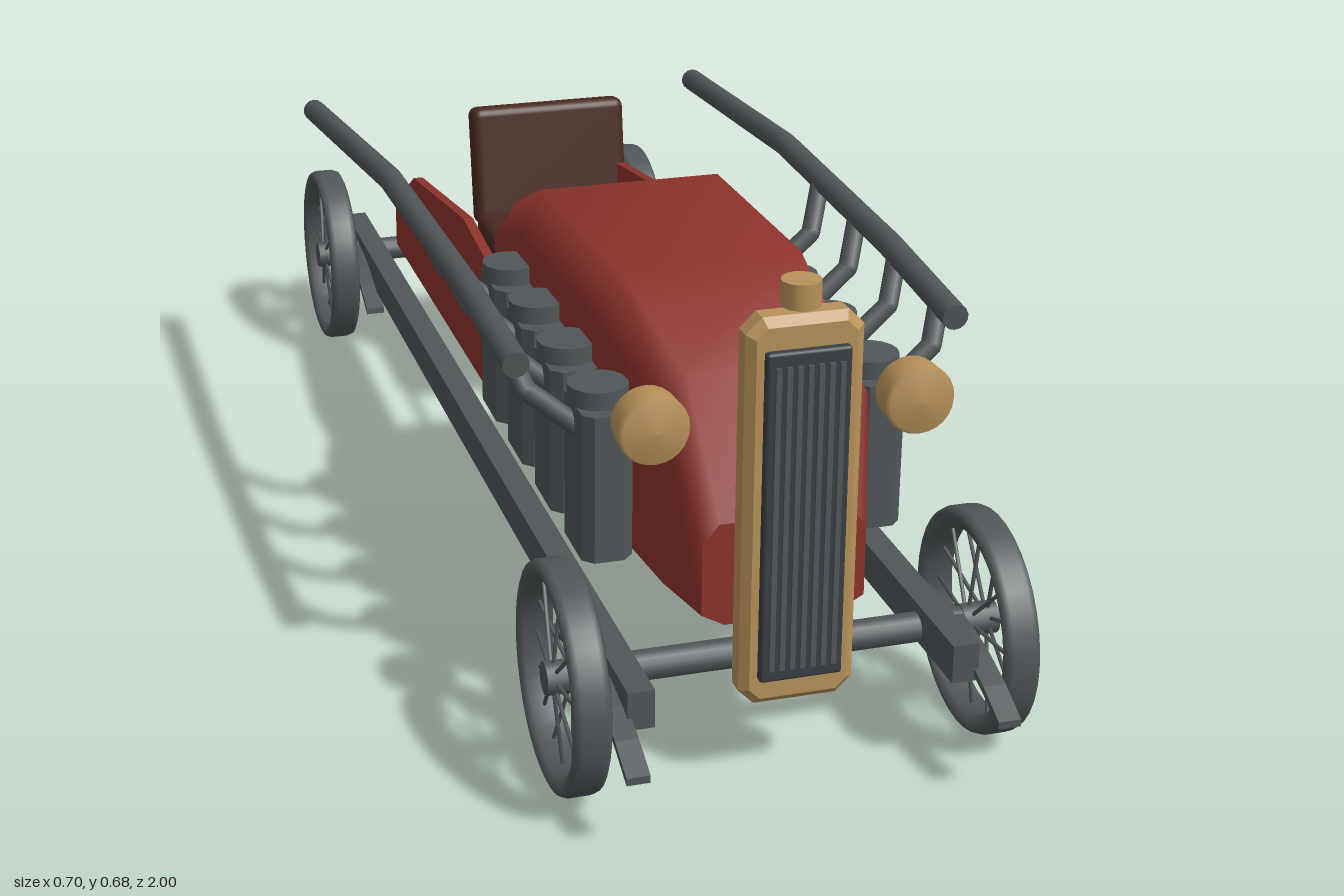
import * as THREE from 'three';
import { RoundedBoxGeometry } from 'three/addons/geometries/RoundedBoxGeometry.js';

const mat = (name, color, side = THREE.FrontSide) => {
  const m = new THREE.MeshStandardMaterial({ color, side });
  m.name = name;
  return m;
};
const steel = mat('steelGrey', 0x505658);
const slatGrey = mat('grilleGrey', 0x393f42);
const red = mat('bodyRed', 0x8e332c);
const brass = mat('brass', 0xb8925a);
const leather = mat('brownLeather', 0x4a2a22);

const V = (x, y, z) => new THREE.Vector3(x, y, z);

export function createModel() {
  const root = new THREE.Group();
  root.name = 'vintageRacer';

  const add = (name, geo, material, x = 0, y = 0, z = 0, parent = root) => {
    const m = new THREE.Mesh(geo, material);
    m.name = name;
    m.position.set(x, y, z);
    parent.add(m);
    return m;
  };
  const box = (name, w, h, d, material, x, y, z, parent) =>
    add(name, new THREE.BoxGeometry(w, h, d), material, x, y, z, parent);

  // Capped round bar between two points
  const rod = (name, a, b, r, material = steel, sides = 10, parent = root) => {
    const geo = new THREE.CylinderGeometry(r, r, a.distanceTo(b), sides);
    const m = add(name, geo, material, 0, 0, 0, parent);
    m.position.copy(a).lerp(b, 0.5);
    m.quaternion.setFromUnitVectors(V(0, 1, 0), b.clone().sub(a).normalize());
    return m;
  };
  const rodChain = (name, points, r, sides) => {
    for (let i = 0; i + 1 < points.length; i++) {
      rod(name, points[i], points[i + 1], r, steel, sides);
      if (i > 0) add(name + 'Joint', new THREE.SphereGeometry(r, 10, 6), steel, ...points[i].toArray());
    }
  };

  // Side outline given as [z, y], extruded across x
  const sidePlate = (name, pts, width, x, material) => {
    const shape = new THREE.Shape(pts.map(([z, y]) => new THREE.Vector2(z, y)));
    const geo = new THREE.ExtrudeGeometry(shape, { depth: width, bevelEnabled: false });
    geo.rotateY(-Math.PI / 2).translate(width / 2, 0, 0);
    return add(name, geo, material, x, 0, 0);
  };
  // Rectangle with cut corners
  const cutRect = (w, h, c) => new THREE.Shape([
    [w, -h + c], [w, h - c], [w - c, h], [c - w, h], [-w, h - c], [-w, c - h], [c - w, -h], [w - c, -h],
  ].map(([x, y]) => new THREE.Vector2(x, y)));

  // Bonnet: eight-sided sections lofted from nose to bulkhead [z, half width, bottom, top]
  const sections = [
    [0.83, 0.108, 0.21, 0.35], [0.755, 0.135, 0.2, 0.525], [0.52, 0.157, 0.193, 0.58],
    [0.145, 0.166, 0.195, 0.567], [0, 0.168, 0.205, 0.5],
  ];
  const rings = sections.map(([z, w, b, t]) => {
    const h = t - b, half = [[0.72 * w, b], [w, b + 0.12 * h], [w, t - 0.18 * h], [0.8 * w, t]];
    return [...half.map(([x, y]) => [x, y, z]), ...half.reverse().map(([x, y]) => [-x, y, z])];
  });
  const index = [];
  for (let s = 0; s + 1 < rings.length; s++) {
    for (let i = 0; i < 8; i++) {
      const a = s * 8 + i, b = s * 8 + (i + 1) % 8;
      index.push(a, a + 8, b, b, a + 8, b + 8);
    }
  }
  const loft = new THREE.BufferGeometry();
  loft.setAttribute('position', new THREE.Float32BufferAttribute(rings.flat(2), 3));
  loft.setIndex(index);
  loft.computeVertexNormals();
  add('bonnet', loft, red);
  [[rings[0], 'bonnetNose', 1], [rings[4], 'bulkhead', -1]].forEach(([ring, name, dir]) => {
    const cap = new THREE.BufferGeometry();
    cap.setAttribute('position', new THREE.Float32BufferAttribute(ring.flat(), 3));
    const tri = [];
    for (let i = 1; i < 7; i++) tri.push(0, dir > 0 ? i : i + 1, dir > 0 ? i + 1 : i);
    cap.setIndex(tri);
    cap.computeVertexNormals();
    add(name, cap, red);
  });

  // Radiator with dark core, vertical slats and filler cap
  const shell = new THREE.ExtrudeGeometry(cutRect(0.064, 0.248, 0.014),
    { depth: 0.024, bevelThickness: 0.011, bevelSize: 0.011, bevelSegments: 1 });
  add('radiatorShell', shell, brass, 0, 0.381, 0.855);
  add('radiatorCore', new RoundedBoxGeometry(0.108, 0.44, 0.02, 1, 0.004), slatGrey, 0, 0.38, 0.891);
  for (let i = -3; i <= 3; i++) {
    box('radiatorSlat', 0.007, 0.405, 0.008, steel, i * 0.0135, 0.38, 0.902);
  }
  add('fillerNeck', new THREE.CylinderGeometry(0.014, 0.014, 0.03, 12), brass, 0, 0.645, 0.862);
  add('fillerCap', new THREE.CylinderGeometry(0.025, 0.025, 0.033, 14), brass, 0, 0.661, 0.862);

  // Seat, set to the left of centre
  add('seatCushion', new RoundedBoxGeometry(0.264, 0.06, 0.22, 3, 0.018), leather, 0.051, 0.284, -0.392);
  add('seatBack', new RoundedBoxGeometry(0.264, 0.2, 0.045, 3, 0.015), leather, 0.051, 0.387, -0.52)
    .rotation.x = -0.15;

  // Drive shaft and axles
  rod('driveShaft', V(0, 0.16, 0.02), V(0, 0.16, -0.72), 0.011);
  [0.8, -0.8].forEach((z) => rod('axle', V(-0.28, 0.152, z), V(0.28, 0.152, z), 0.02, steel, 14));

  // Wheel: tyre, hub and wire spokes
  const wheel = (x, z) => {
    const g = new THREE.Group();
    g.name = 'wheel';
    g.position.set(x, 0.152, z);
    const profile = [[0.125, -0.018], [0.14, -0.025], [0.147, -0.022], [0.15, -0.014], [0.15, 0.014],
      [0.147, 0.022], [0.14, 0.025], [0.125, 0.018], [0.125, -0.018]];
    const tyre = new THREE.LatheGeometry(profile.map(([r, y]) => new THREE.Vector2(r, y)), 36);
    add('tyre', tyre.rotateZ(Math.PI / 2), steel, 0, 0, 0, g);
    rod('hub', V(-0.024, 0, 0), V(0.024, 0, 0), 0.022, steel, 14, g);
    for (let i = 0; i < 16; i++) {
      const a = (i / 16) * Math.PI * 2, c = Math.cos(a), s = Math.sin(a), o = i % 2 ? 0.012 : -0.012;
      rod('spoke', V(o, 0.015 * c, 0.015 * s), V(0, 0.13 * c, 0.13 * s), 0.0028, steel, 5, g);
    }
    root.add(g);
  };

  for (const s of [1, -1]) {
    // Frame rail, leaf springs and wheels
    box('frameRail', 0.035, 0.052, 1.83, steel, s * 0.213, 0.159, 0.005);
    for (const z of [0.8, -0.8]) {
      wheel(s * 0.28, z);
      const top = [], low = [];
      for (let i = -4; i <= 4; i++) {
        const y = 0.165 - 0.052 * (i / 4) ** 2;
        top.push([z + i * 0.05, y + 0.004]);
        low.unshift([z + i * 0.05, y - 0.006]);
      }
      sidePlate('leafSpring', [...low.reverse(), ...top.reverse()], 0.03, s * 0.24, steel);
      box('springMount', 0.03, 0.035, 0.05, steel, s * 0.24, 0.135, z);
    }

    // Cockpit side panel
    sidePlate('cockpitSide', [[0.01, 0.2], [-0.688, 0.2], [-0.688, 0.278], [-0.525, 0.374],
      [-0.15, 0.428], [0.01, 0.41]].reverse(), 0.015, s * 0.174, red);

    // Headlamp
    const lampProfile = [[0, -0.034], [0.032, -0.034], [0.044, -0.018], [0.046, 0.02], [0.042, 0.028], [0, 0.033]];
    const lamp = new THREE.LatheGeometry(lampProfile.map(([r, y]) => new THREE.Vector2(r, y)), 24);
    add('headlamp', lamp.rotateX(Math.PI / 2), brass, s * 0.172, 0.488, 0.811);

    // Four cylinder blocks with caps and exhaust stubs
    for (let i = 0; i < 4; i++) {
      const z = 0.627 - i * 0.154;
      const block = new THREE.ExtrudeGeometry(cutRect(0.034, 0.056, 0.014), { depth: 0.205, bevelEnabled: false });
      add('cylinderBlock', block.rotateX(-Math.PI / 2), steel, s * 0.185, 0.242, z).rotation.x = 0.015;
      add('cylinderCap', new THREE.CylinderGeometry(0.04, 0.04, 0.026, 16), steel, s * 0.185, 0.458, z);
      rodChain('exhaustStub', [V(s * 0.2, 0.402, z), V(s * 0.277, 0.465, z - 0.01),
        V(s * 0.302, 0.525, z - 0.045)], 0.014, 10);
    }

    // Long exhaust collector
    rodChain('exhaustPipe', [V(s * 0.297, 0.514, 0.647), V(s * 0.302, 0.53, 0.4),
      V(s * 0.312, 0.534, -0.06), V(s * 0.333, 0.484, -0.6)], 0.018, 14);

    // Drive chain and rear drum ring
    const x = s * 0.095;
    rodChain('driveChain', [V(x, 0.25, -0.8), V(x, 0.24, 0.07), V(x, 0.18, 0.11),
      V(x, 0.088, 0.073), V(x, 0.06, -0.78)], 0.007, 8);
    add('drumRing', new THREE.TorusGeometry(0.09, 0.011, 10, 28).rotateY(Math.PI / 2), steel, x, 0.152, -0.8);
  }
  return root;
}
